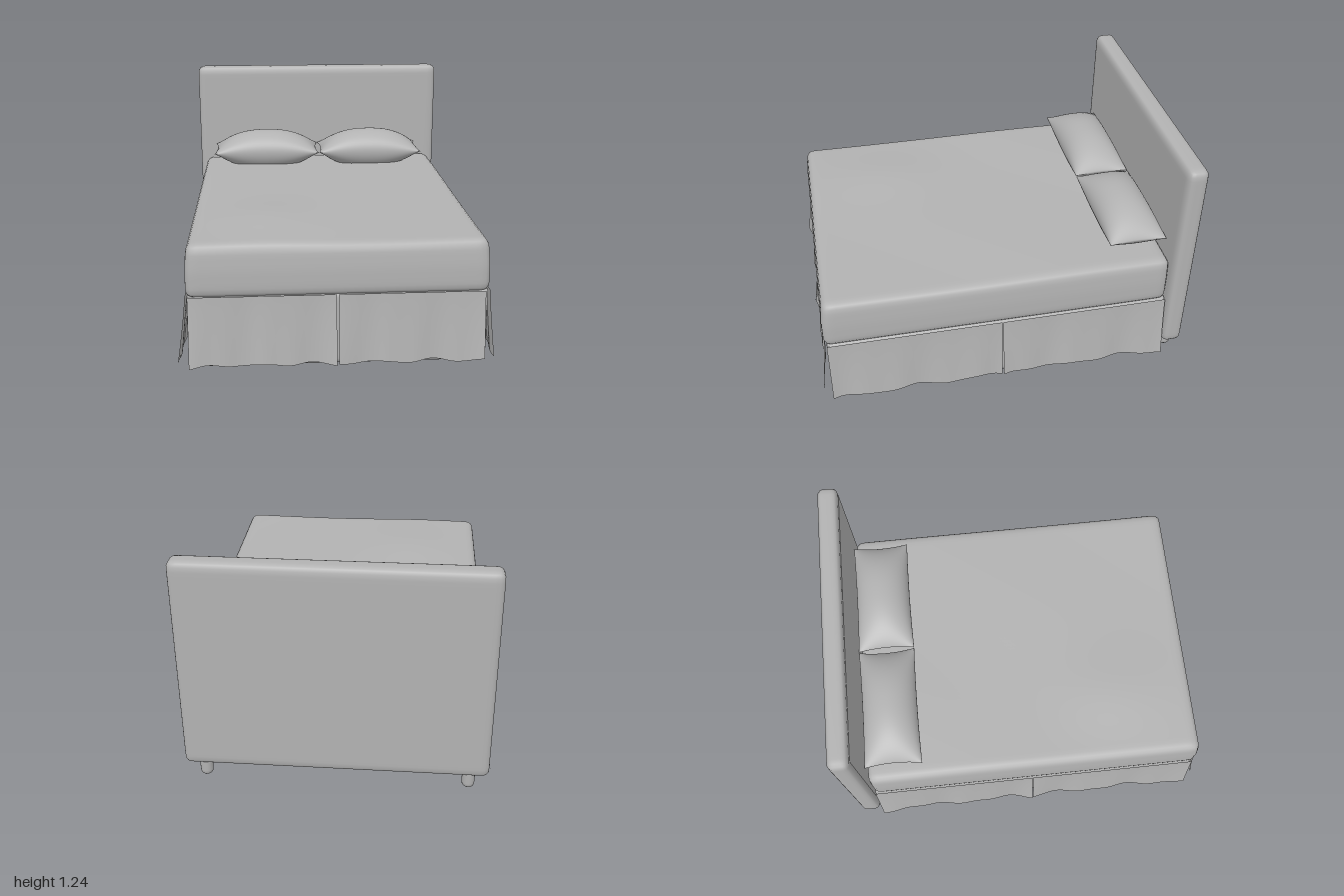
import * as THREE from 'three';
import { mergeGeometries, mergeVertices } from 'three/addons/utils/BufferGeometryUtils.js';

const fabric = new THREE.MeshStandardMaterial({ color: 0xb2b2b2, side: THREE.DoubleSide });
fabric.name = 'grey fabric';

// Moves every vertex by a rule, then welds and smooths the surface.
function reshape(geometry, rule) {
  const p = geometry.attributes.position;
  const v = new THREE.Vector3();
  for (let i = 0; i < p.count; i++) {
    v.fromBufferAttribute(p, i);
    rule(v);
    p.setXYZ(i, v.x, v.y, v.z);
  }
  geometry.deleteAttribute('uv');
  geometry.deleteAttribute('normal');
  const welded = mergeVertices(geometry, 1e-5);
  welded.computeVertexNormals();
  return welded;
}

function addMesh(parent, name, geometry) {
  const mesh = new THREE.Mesh(geometry, fabric);
  mesh.name = name;
  parent.add(mesh);
  return mesh;
}

// Finely divided box with rounded edges and an optional extra shaping rule.
function softBox(min, max, radius, extra) {
  const lo = new THREE.Vector3(...min), hi = new THREE.Vector3(...max);
  const size = hi.clone().sub(lo), centre = lo.clone().add(hi).multiplyScalar(0.5);
  const r = new THREE.Vector3().setScalar(radius);
  const inner = size.clone().multiplyScalar(0.5).sub(r), outer = inner.clone().negate();
  const cells = (length) => Math.max(8, Math.min(72, Math.round(length / 0.025)));
  const box = new THREE.BoxGeometry(size.x, size.y, size.z, cells(size.x), cells(size.y), cells(size.z));
  const core = new THREE.Vector3();
  return reshape(box, (v) => {
    core.copy(v).clamp(outer, inner);
    v.sub(core).setLength(radius).add(core).add(centre);
    if (extra) extra(v);
  });
}

// Two bulging sheets that meet in a pinched seam.
function pillowGeometry(halfWidth, halfDepth) {
  const sheets = [1, -1].map((side) => {
    const sheet = new THREE.PlaneGeometry(2, 2, 32, 24);
    sheet.rotateX(-side * Math.PI / 2);
    const p = sheet.attributes.position;
    for (let i = 0; i < p.count; i++) {
      const u = Math.sin(p.getX(i) * Math.PI / 2), w = Math.sin(p.getZ(i) * Math.PI / 2);
      const puff = Math.pow(Math.max(0, 1 - Math.pow(Math.abs(u), 2.4)), 0.75) * Math.sqrt(Math.max(0, 1 - w * w));
      const height = side > 0 ? 0.122 * puff : -Math.min(0.085, 0.13 * puff);
      p.setXYZ(i,
        u * halfWidth * (1 - 0.045 * (1 - w * w)),
        height,
        w * halfDepth * (1 - 0.035 * (1 - u * u)));
    }
    return sheet;
  });
  return reshape(mergeGeometries(sheets), () => {});
}

// Hanging cloth panel: local x runs along the bed edge, local z points outwards.
function skirtPanel(length, seed, flare) {
  const top = 0.395, bottom = 0.035;
  const plane = new THREE.PlaneGeometry(length, 1, 48, 12);
  return reshape(plane, (v) => {
    const drop = 0.5 - v.y;
    const s = v.x / length;
    const fold = Math.sin(s * 13 + seed) * 0.008 + Math.sin(s * 27 + seed * 2.3) * 0.004;
    const end = 0.014 * Math.pow(Math.abs(2 * s), 8);
    const hem = 0.008 + 0.007 * Math.sin(s * 17 + seed * 1.7);
    v.y = top + (bottom + hem - top) * drop;
    v.z = 0.004 + Math.pow(drop, 1.2) * (flare + fold + end);
  });
}

export function createModel() {
  const bed = new THREE.Group();
  bed.name = 'bed';

  // Upholstered headboard on two short round legs
  addMesh(bed, 'headboard', softBox([-0.775, 0.09, -1], [0.775, 1.24, -0.89], 0.035));
  const legProfile = [[0, 0], [0.022, 0.002], [0.031, 0.012], [0.033, 0.03], [0.033, 0.12]]
    .map(([x, y]) => new THREE.Vector2(x, y));
  for (const side of [-1, 1]) {
    const leg = addMesh(bed, side > 0 ? 'leftLeg' : 'rightLeg', new THREE.LatheGeometry(legProfile, 20));
    leg.position.set(side * 0.675, 0, -0.943);
  }

  // Box base hidden behind the skirt
  addMesh(bed, 'base', softBox([-0.738, 0.025, -0.885], [0.738, 0.4, 0.945], 0.015));

  // Mattress with slightly uneven bedding on top
  addMesh(bed, 'mattress', softBox([-0.742, 0.388, -0.885], [0.742, 0.655, 0.96], 0.042, (v) => {
    const upper = THREE.MathUtils.smoothstep(v.y, 0.6, 0.655);
    const hump = 0.018 * Math.exp(-(((v.x + 0.36) / 0.24) ** 2) - ((v.z - 0.5) / 0.3) ** 2);
    v.y += upper * (hump + 0.003 * Math.sin(v.x * 5 + v.z * 4));
    // the sides pull in a little towards the top
    const taper = 1 - 0.012 * THREE.MathUtils.smoothstep(v.y, 0.5, 0.66);
    v.x *= taper;
    if (v.z > 0) v.z *= taper;
  }));

  // Pleated skirt: two panels at the foot and two along each side
  const skirt = new THREE.Group();
  skirt.name = 'skirt';
  bed.add(skirt);
  [-1, 1].forEach((side, i) => {
    const front = addMesh(skirt, side > 0 ? 'frontLeftSkirt' : 'frontRightSkirt', skirtPanel(0.722, 1 + i * 2.1, 0.026));
    front.position.set(side * 0.366 - 0.005, 0, 0.947);
    [[-0.43, 0.9], [0.485, 0.92]].forEach(([z, length], j) => {
      const name = (side > 0 ? 'left' : 'right') + (j ? 'Front' : 'Back') + 'Skirt';
      const panel = addMesh(skirt, name, skirtPanel(length, 0.6 + i * 1.4 + j * 2.7, 0.031));
      panel.position.set(side * 0.74, 0, z);
      panel.rotation.y = side * Math.PI / 2;
    });
  });

  // Pillows against the headboard
  [['rightPillow', -0.34, 0.33], ['leftPillow', 0.317, 0.323]].forEach(([name, x, halfWidth]) => {
    const pillow = addMesh(bed, name, pillowGeometry(halfWidth, 0.155));
    pillow.position.set(x, 0.735, -0.73);
  });

  return bed;
}
